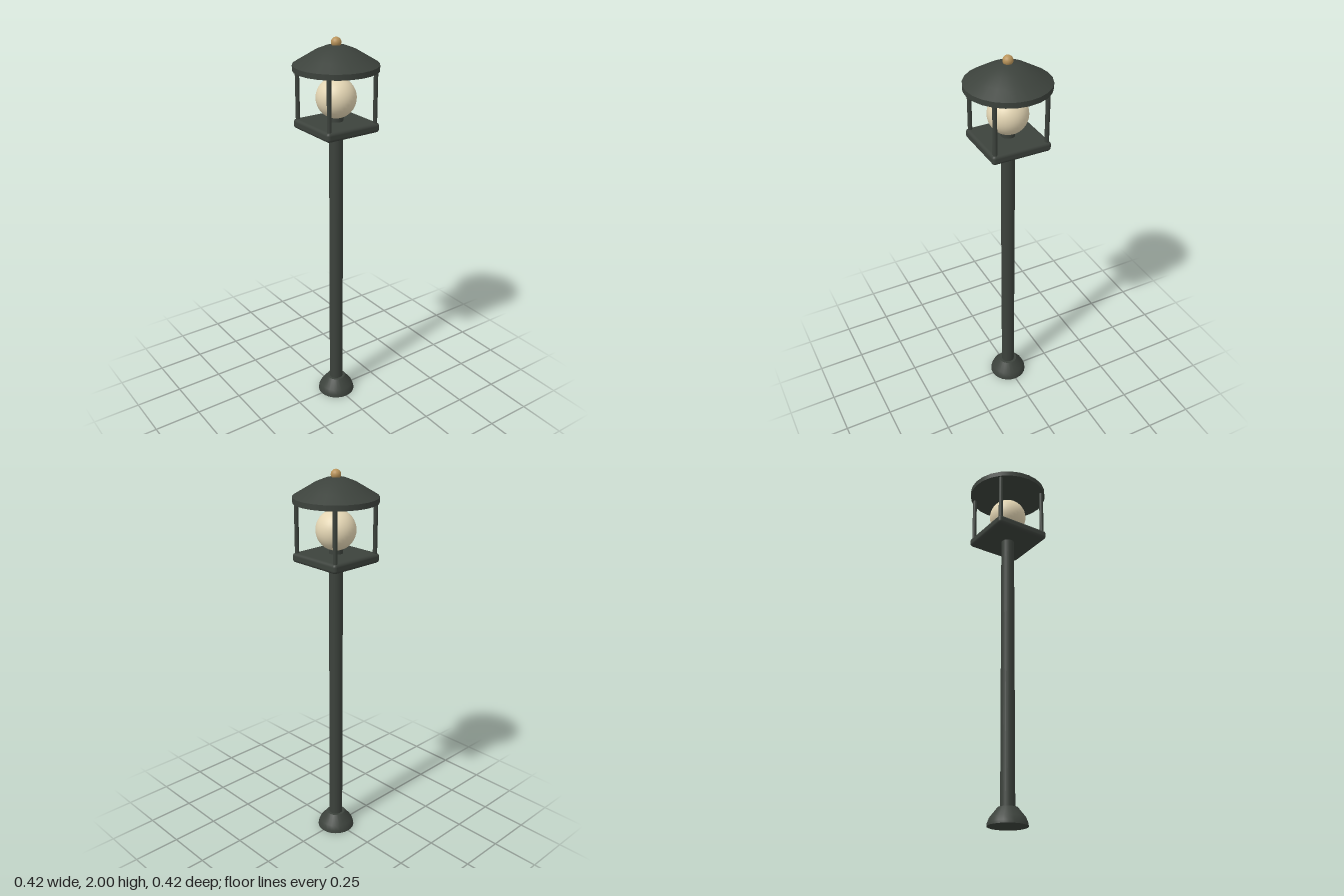
import * as THREE from 'three';
import { RoundedBoxGeometry } from 'three/addons/geometries/RoundedBoxGeometry.js';

const iron = new THREE.MeshStandardMaterial({ color: 0x3c423c });
iron.name = 'dark green iron';
const glass = new THREE.MeshStandardMaterial({ color: 0xe3d5b3 });
glass.name = 'warm cream glass';
const brass = new THREE.MeshStandardMaterial({ color: 0xb8935a });
brass.name = 'brass';

export function createModel() {
  const model = new THREE.Group();
  model.name = 'lampPost';

  const add = (name, geometry, material, x = 0, y = 0, z = 0) => {
    const mesh = new THREE.Mesh(geometry, material);
    mesh.name = name;
    mesh.position.set(x, y, z);
    model.add(mesh);
  };
  const profile = (points) => points.map(([r, y]) => new THREE.Vector2(r, y));

  // Flared foot, closed underneath
  add('footBottom', new THREE.LatheGeometry(profile([[0, 0], [0.1, 0]]), 24), iron);
  add('foot', new THREE.LatheGeometry(profile([[0.1, 0], [0.098, 0.015], [0.088, 0.04], [0.05, 0.088]]), 24), iron);
  add('footTop', new THREE.LatheGeometry(profile([[0.05, 0.088], [0, 0.088]]), 24), iron);

  // Pole, running through the lantern floor to hold the globe
  add('pole', new THREE.CylinderGeometry(0.035, 0.036, 1.6, 20), iron, 0, 0.83, 0);

  // Square lantern floor with softened edges
  add('lanternFloor', new RoundedBoxGeometry(0.308, 0.048, 0.308, 3, 0.016), iron, 0, 1.571, 0);

  // Corner posts
  for (const x of [-1, 1]) {
    for (const z of [-1, 1]) {
      add('cornerPost', new THREE.CylinderGeometry(0.011, 0.011, 0.28, 10), iron, x * 0.135, 1.725, z * 0.135);
    }
  }

  // Lamp globe
  add('globe', new THREE.SphereGeometry(0.1, 32, 20), glass, 0, 1.71, 0);

  // Round roof: flat underside, thin rim and domed top
  add('roofUnderside', new THREE.LatheGeometry(profile([[0, 1.845], [0.21, 1.845]]), 24), iron);
  add('roofRim', new THREE.LatheGeometry(profile([[0.21, 1.845], [0.21, 1.872]]), 24), iron);
  add('roofTop', new THREE.LatheGeometry(profile([
    [0.21, 1.872], [0.15, 1.908], [0.1, 1.938], [0.05, 1.958], [0, 1.966],
  ]), 24), iron);

  // Finial
  add('finial', new THREE.SphereGeometry(0.025, 20, 14), brass, 0, 1.975, 0);

  return model;
}
